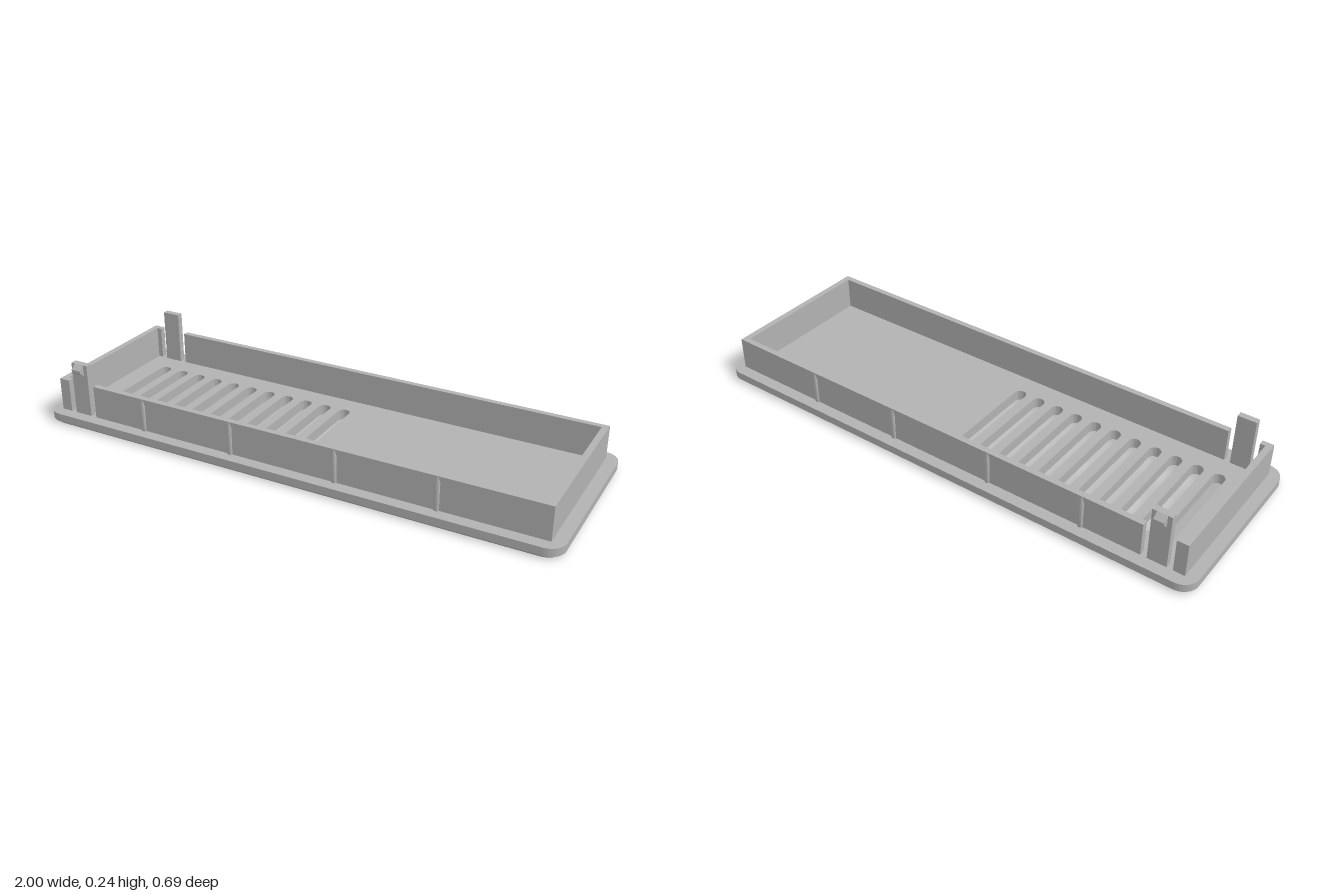
import * as THREE from 'three';
import { toCreasedNormals } from 'three/addons/utils/BufferGeometryUtils.js';

const PLATE_TOP = 0.04, WALL_TOP = 0.165, WALL_Z = 0.3, INNER_Z = 0.278;

// Rounded rectangle outline, used for the plate and its vent slots
function roundedRect(path, cx, hx, hz, r) {
  path.absarc(cx + hx - r, hz - r, r, 0, Math.PI / 2);
  path.absarc(cx - hx + r, hz - r, r, Math.PI / 2, Math.PI);
  path.absarc(cx - hx + r, -hz + r, r, Math.PI, Math.PI * 1.5);
  path.absarc(cx + hx - r, -hz + r, r, Math.PI * 1.5, Math.PI * 2);
  path.closePath();
  return path;
}

// Extrude a plan outline upward from y0 to y1
function extrudeUp(shape, y0, y1, steps = 1) {
  const geo = new THREE.ExtrudeGeometry(shape, { depth: y1 - y0, bevelEnabled: false, steps, curveSegments: 8 });
  return geo.rotateX(-Math.PI / 2).translate(0, y0, 0);
}

const polygon = (points) => new THREE.Shape(points.map(([x, y]) => new THREE.Vector2(x, y)));

export function createModel() {
  const grey = new THREE.MeshStandardMaterial({ color: 0xb2b2b2 });
  grey.name = 'grey plastic';
  const model = new THREE.Group();
  model.name = 'ventedCover';
  const add = (name, geo, parent = model) => {
    const mesh = new THREE.Mesh(geo, grey);
    mesh.name = name;
    parent.add(mesh);
    return mesh;
  };

  // Base plate with eleven slots
  const outline = roundedRect(new THREE.Shape(), 0, 1, 0.344, 0.06);
  for (let i = 0; i < 11; i++) {
    outline.holes.push(roundedRect(new THREE.Path(), -0.83 + i * 0.082, 0.023, 0.2, 0.0229));
  }
  const plate = extrudeUp(outline, 0, PLATE_TOP, 4);
  // Draw in the lowest ring of the rim to form the bottom chamfer
  const pos = plate.attributes.position;
  for (let i = 0; i < pos.count; i++) {
    if (pos.getY(i) < 0.005 && Math.abs(pos.getZ(i)) > 0.25) {
      pos.setX(i, pos.getX(i) * 0.99);
      pos.setZ(i, pos.getZ(i) * 0.971);
    }
  }
  add('basePlate', toCreasedNormals(plate, 0.5));

  // Upright rim: long U-shaped wall and short end wall with returns
  const uWall = (xOpen, xEnd, xInner) => polygon([
    [xOpen, -WALL_Z], [xEnd, -WALL_Z], [xEnd, WALL_Z], [xOpen, WALL_Z],
    [xOpen, INNER_Z], [xInner, INNER_Z], [xInner, -INNER_Z], [xOpen, -INNER_Z],
  ]);
  add('mainWall', extrudeUp(uWall(-0.8, 0.955, 0.932), PLATE_TOP, WALL_TOP));
  add('endWall', extrudeUp(uWall(-0.915, -0.957, -0.934), PLATE_TOP, WALL_TOP));

  // Rounded ribs with tapered tops, outside both long walls
  const ribGeo = toCreasedNormals(new THREE.LatheGeometry([
    [0.011, PLATE_TOP], [0.011, 0.14], [0.004, WALL_TOP], [0, WALL_TOP],
  ].map(([r, y]) => new THREE.Vector2(r, y)), 16), 0.5);
  for (const side of [1, -1]) {
    for (const x of [-0.578, -0.208, 0.203, 0.573]) {
      add('rib', ribGeo).position.set(x, -0.0005, side * 0.296);
    }
  }

  // Snap clips: upright tab with an outward hook
  const hookGeo = new THREE.ExtrudeGeometry(
    polygon([[0.298, 0.198], [0.3, 0.2], [0.32, 0.216], [0.32, 0.226], [0.3, 0.243], [0.298, 0.243]]),
    { depth: 0.038, bevelEnabled: false },
  );
  // Stand the profile in the z-y plane, centred on its width
  hookGeo.translate(0, 0, -0.019).rotateY(-Math.PI / 2);
  for (const side of [1, -1]) {
    const clip = new THREE.Group();
    clip.name = side > 0 ? 'frontClip' : 'backClip';
    add('tab', new THREE.BoxGeometry(0.07, 0.203, 0.024).translate(0, 0.1415, 0.288), clip);
    add('hook', hookGeo, clip);
    clip.position.x = -0.858;
    if (side < 0) clip.rotation.y = Math.PI;
    model.add(clip);
  }
  return model;
}
